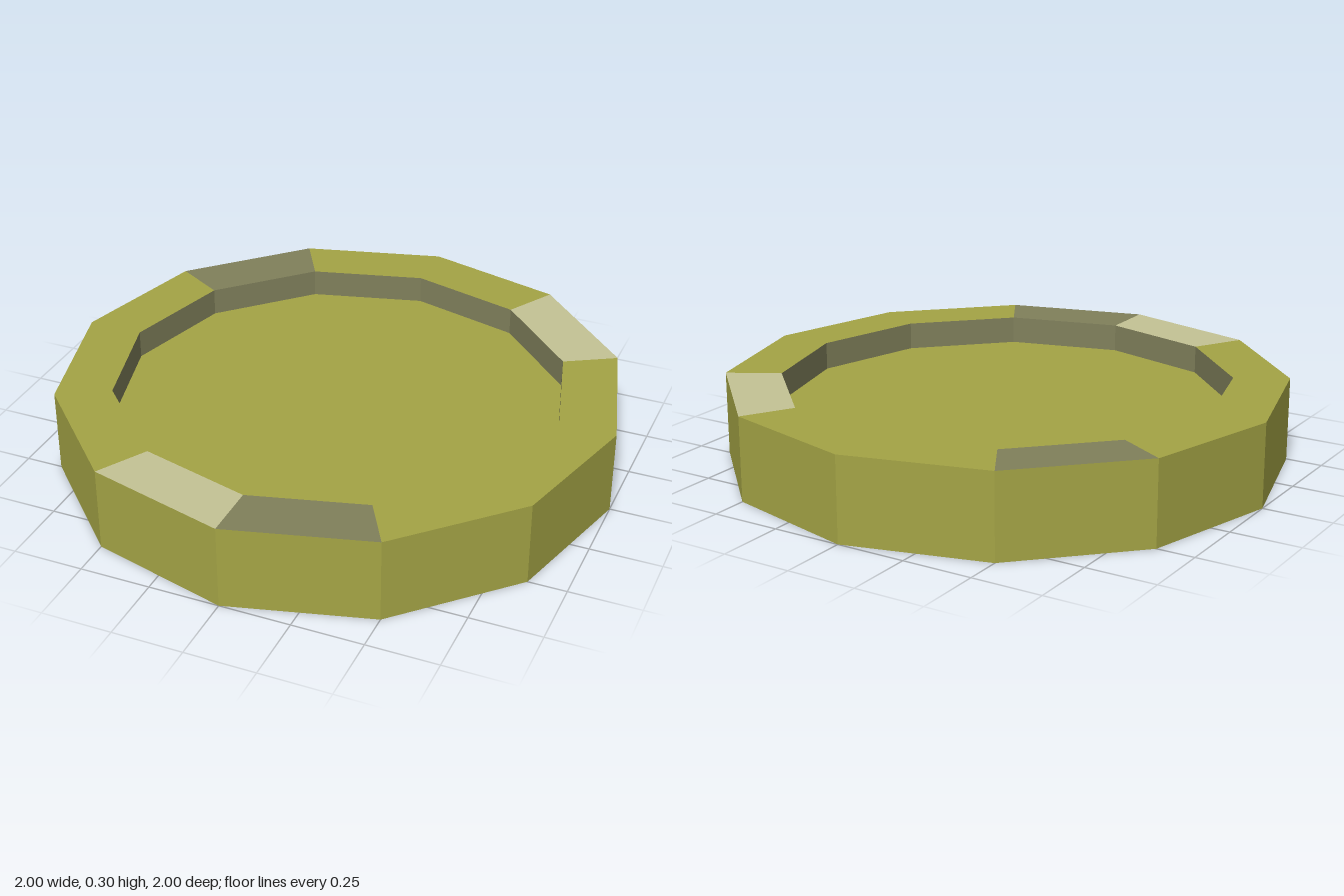
import * as THREE from 'three';

const SIDES = 12, OUTER = 1, INNER = 0.8, HEIGHT = 0.3, RECESS = 0.1;

export function createModel() {
  const group = new THREE.Group();
  const material = (name, color) => Object.assign(new THREE.MeshStandardMaterial({ color }), { name });
  const olive = material('olive', 0xa4a445);
  const darkGrey = material('darkGrey', 0x80805b);
  const paleGrey = material('paleGrey', 0xc4c395);

  const add = (name, geometry, mat) => {
    const mesh = new THREE.Mesh(geometry, mat);
    mesh.name = name;
    group.add(mesh);
    return mesh;
  };

  // Faceted vertical band; runs upward to face out, downward to face in
  const band = (radius, fromY, toY) => {
    const points = [new THREE.Vector2(radius, fromY), new THREE.Vector2(radius, toY)];
    const geometry = new THREE.LatheGeometry(points, SIDES).toNonIndexed();
    geometry.computeVertexNormals();
    return geometry;
  };

  add('outerWall', band(OUTER, 0, HEIGHT), olive);

  // Coloured rim segments, counted anticlockwise from +x as seen from above
  const accents = { 1: 2, 8: 2, 4: 1, 9: 1 };

  for (const top of [true, false]) {
    const side = top ? 'top' : 'bottom';
    const turn = top ? -Math.PI / 2 : Math.PI / 2;
    const rimY = top ? HEIGHT : 0;
    const floorY = top ? HEIGHT - RECESS : RECESS;

    // Flat rim with one material group per segment
    const ring = new THREE.RingGeometry(INNER, OUTER, SIDES, 1);
    for (let i = 0; i < SIDES; i++) {
      ring.addGroup(i * 6, 6, accents[top ? i : SIDES - 1 - i] ?? 0);
    }
    ring.rotateX(turn).translate(0, rimY, 0);
    add(side + 'Rim', ring, [olive, darkGrey, paleGrey]);

    // Recess wall and floor
    add(side + 'RecessWall', band(INNER, top ? rimY : floorY, top ? floorY : rimY), darkGrey);
    add(side + 'RecessFloor', new THREE.CircleGeometry(INNER, SIDES).rotateX(turn).translate(0, floorY, 0), olive);
  }

  return group;
}
